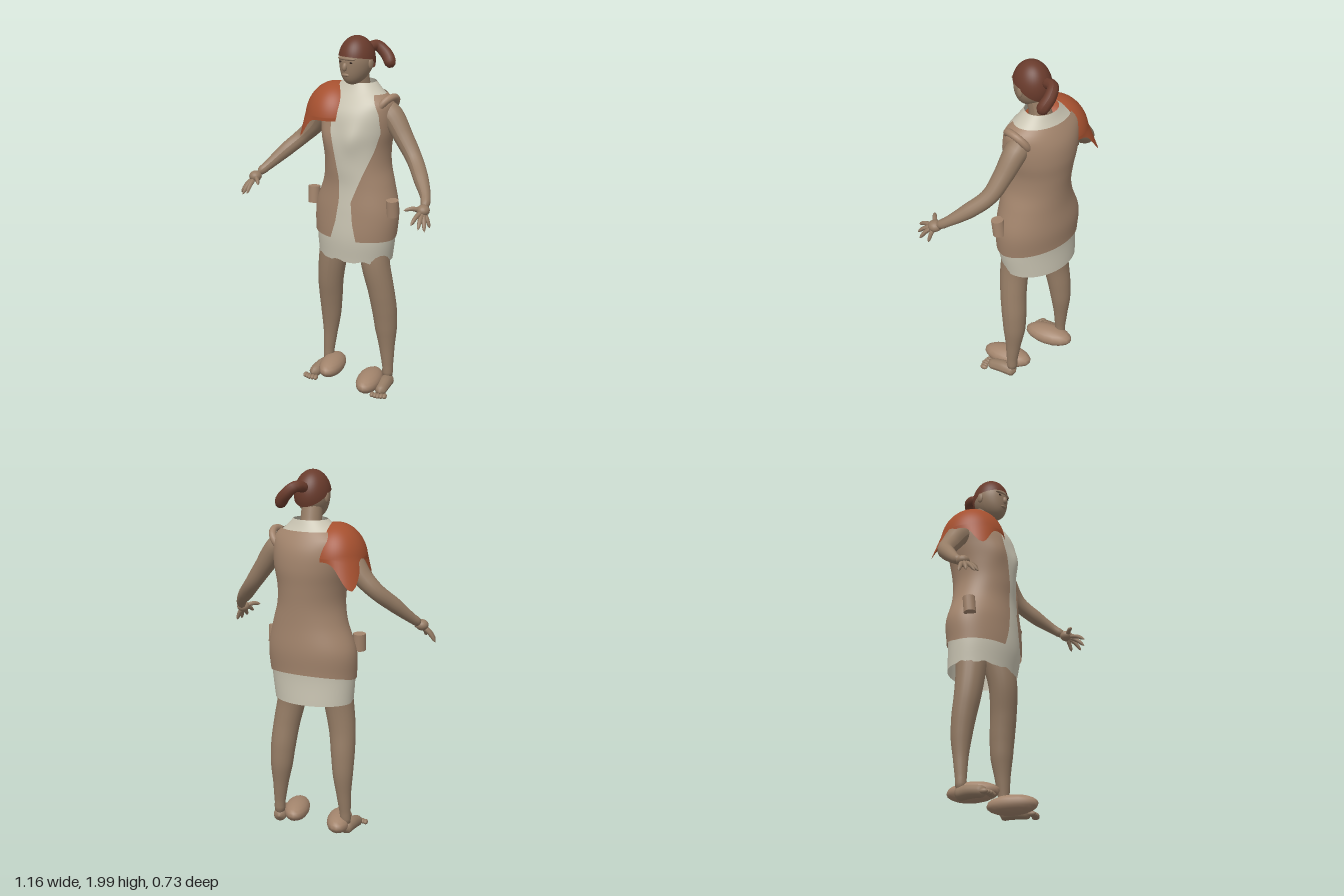
import * as THREE from 'three';

const mat = (name, color, side = THREE.FrontSide) => {
  const m = new THREE.MeshStandardMaterial({ color, side });
  m.name = name;
  return m;
};
const TURN = 0.38; // the body faces a little to its right
const sinT = Math.sin(TURN), cosT = Math.cos(TURN);
const bell = (d, w) => Math.exp(-(d * d) / (w * w));

// Surface from cross-sections: u runs around (+x to +z), v runs upward
function grid(nu, nv, closed, fn) {
  const pos = [], idx = [], cols = closed ? nu : nu + 1;
  for (let i = 0; i <= nv; i++)
    for (let j = 0; j < cols; j++) pos.push(...fn(j / nu, i / nv));
  for (let i = 0; i < nv; i++)
    for (let j = 0; j < nu; j++) {
      const k = (j + 1) % cols, r = i * cols, s = r + cols;
      idx.push(r + j, s + j, r + k, r + k, s + j, s + k);
    }
  const g = new THREE.BufferGeometry();
  g.setAttribute('position', new THREE.Float32BufferAttribute(pos, 3));
  g.setIndex(idx);
  g.computeVertexNormals();
  return g;
}

// Tapered tube through [x, y, z, radius] points, with round ends
function limb(pts, n = 24, sides = 16) {
  const curve = new THREE.CatmullRomCurve3(pts.map(p => new THREE.Vector3(p[0], p[1], p[2])));
  const g = new THREE.TubeGeometry(curve, n, 1, sides);
  const p = g.attributes.position, v = new THREE.Vector3(), c = new THREE.Vector3();
  for (let i = 0; i <= n; i++) {
    curve.getPointAt(i / n, c);
    const t = curve.getUtoTmapping(i / n) * (pts.length - 1);
    const k = Math.min(Math.floor(t), pts.length - 2);
    let r = THREE.MathUtils.lerp(pts[k][3], pts[k + 1][3], t - k);
    if (i === 0 || i === n) r *= 0.02;
    else if (i === 1 || i === n - 1) r *= 0.85;
    for (let j = 0; j <= sides; j++) {
      const q = i * (sides + 1) + j;
      v.fromBufferAttribute(p, q).sub(c).multiplyScalar(r).add(c);
      p.setXYZ(q, v.x, v.y, v.z);
    }
  }
  g.computeVertexNormals();
  return g;
}

// Torso sections by height: centre x, centre z, half width, half depth
const heights = [0.77, 0.9, 1.05, 1.2, 1.3, 1.4, 1.5, 1.6, 1.66, 1.71, 1.75];
const sections = [
  0.065, -0.125, 0.225, 0.165, 0.07, -0.115, 0.24, 0.17, 0.075, -0.12, 0.245, 0.172,
  0.085, -0.117, 0.2, 0.165, 0.08, -0.115, 0.177, 0.17, 0.075, -0.12, 0.18, 0.175,
  0.075, -0.13, 0.2, 0.175, 0.07, -0.135, 0.212, 0.162, 0.07, -0.14, 0.205, 0.132,
  0.075, -0.14, 0.14, 0.1, 0.08, -0.14, 0.095, 0.08];
const torsoAt = new THREE.CubicInterpolant(heights, sections, 4, new Float32Array(4));
function torso(phi, y, grow = 0) {
  const [cx, cz, a, b] = torsoAt.evaluate(y);
  const bust = 0.025 * bell(y - 1.47, 0.08) * (bell(phi - 1.05, 0.35) + bell(phi - 2.1, 0.35));
  const l = (a + grow) * Math.cos(phi), f = (b + grow + bust) * Math.sin(phi);
  return [cx + l * cosT - f * sinT, y, cz + l * sinT + f * cosT];
}
// Angle at which the front of the torso reaches a given x
function angleAt(x, y) {
  let lo = 0, hi = 2.7;
  for (let i = 0; i < 24; i++) {
    const m = (lo + hi) / 2;
    if (torso(m, y)[0] > x) lo = m; else hi = m;
  }
  return lo;
}
const edgeY = [0.9, 1.0, 1.12, 1.25, 1.4, 1.5, 1.6, 1.7];
const edgeOf = xs => new THREE.LinearInterpolant(edgeY, xs, 1, new Float32Array(1));
const rightEdge = edgeOf([-0.03, 0.0, 0.02, 0.02, -0.01, -0.03, -0.03, -0.01]);
const leftEdge = edgeOf([0.12, 0.1, 0.09, 0.14, 0.2, 0.23, 0.22, 0.18]);

export function createModel() {
  const model = new THREE.Group();
  const skin = mat('skin', 0x957c65), tan = mat('tan leather', 0xa2846c, THREE.DoubleSide);
  const cloth = mat('pale cloth', 0xc9c4b2, THREE.DoubleSide);
  const rust = mat('rust shawl', 0xa5502f, THREE.DoubleSide);
  const hair = mat('brown hair', 0x693b2c, THREE.DoubleSide), dark = mat('dark eyes', 0x3a2a22);
  const add = (name, geo, m, parent = model) => {
    const mesh = new THREE.Mesh(geo, m);
    mesh.name = name;
    parent.add(mesh);
    return mesh;
  };
  const ball = (name, m, p, s, parent) => {
    const o = add(name, new THREE.SphereGeometry(1, 20, 14), m, parent);
    o.position.set(...p);
    o.scale.set(...s);
    return o;
  };

  // Tunic with a ragged hem, and the vest open at the front
  add('tunic', grid(64, 50, true, (u, v) => {
    const phi = u * Math.PI * 2;
    const hem = 0.768 + 0.012 * Math.max(0, Math.sin(phi * 9)) * (Math.sin(phi) > 0 ? 1 : 0);
    return torso(phi, hem + v * (1.75 - hem));
  }), cloth);
  add('vest', grid(56, 40, false, (u, v) => {
    const y = 0.9 + v * 0.795;
    const a0 = angleAt(rightEdge.evaluate(y)[0], y);
    const a1 = angleAt(leftEdge.evaluate(y)[0], y) + Math.PI * 2;
    const phi = a0 + (a1 - a0) * u;
    const p = torso(phi, y, 0.008);
    p[1] += 0.035 * (1 - v) ** 8 * Math.max(0, -Math.sin(phi));
    return p;
  }), tan);

  // Rolled armhole on the left shoulder
  const roll = add('armholeRoll', new THREE.TorusGeometry(0.068, 0.02, 10, 28), tan);
  roll.position.set(0.245, 1.625, -0.085);
  roll.lookAt(0.42, 1.5, -0.01);

  // Shawl over the right shoulder with two hanging points
  add('shawl', grid(60, 24, true, (u, v) => {
    const az = u * Math.PI * 2, w = 1 - v, deg = az * 180 / Math.PI;
    const back = bell(deg - 241, 20), side = bell(deg - 151, 17);
    const t = Math.min(w / 0.7, 1) * 1.4, drop = Math.max(0, (w - 0.7) / 0.3);
    const r = Math.sin(t) * (1 + drop * (0.33 * back + 0.2 * side));
    const y = 1.535 + 0.2 * Math.cos(t);
    const hem = 1.55 - 0.14 * back - 0.11 * side;
    return [-0.06 + 0.165 * r * Math.cos(az), y + (hem - y) * drop, -0.15 + 0.182 * r * Math.sin(az)];
  }), rust);

  // Belt pouches
  for (const [name, x, z, tilt] of [['leftPouch', 0.305, 0.0, 0.12], ['rightPouch', -0.18, -0.13, -0.08]]) {
    const p = add(name, new THREE.CylinderGeometry(0.034, 0.034, 0.092, 16), tan);
    p.position.set(x, 1.09, z);
    p.rotation.x = tilt;
  }

  // Arms and hands
  const arms = {
    left: {
      arm: [[0.2, 1.62, -0.11, 0.06], [0.27, 1.58, -0.09, 0.064], [0.35, 1.47, -0.055, 0.052], [0.42, 1.37, -0.01, 0.044],
        [0.48, 1.29, 0.08, 0.041], [0.53, 1.22, 0.18, 0.026], [0.54, 1.18, 0.24, 0.026]],
      palm: [0.535, 1.175, 0.25],
      tips: [[0.577, 1.09, 0.27], [0.563, 1.085, 0.33], [0.535, 1.1, 0.355], [0.5, 1.125, 0.365], [0.445, 1.18, 0.3]]
    },
    right: {
      arm: [[-0.06, 1.6, -0.19, 0.06], [-0.14, 1.55, -0.21, 0.062], [-0.21, 1.46, -0.235, 0.052], [-0.28, 1.39, -0.24, 0.044],
        [-0.37, 1.31, -0.19, 0.04], [-0.46, 1.225, -0.125, 0.026], [-0.5, 1.19, -0.085, 0.026]],
      palm: [-0.507, 1.18, -0.07],
      tips: [[-0.58, 1.085, -0.07], [-0.578, 1.09, -0.03], [-0.555, 1.09, 0.01], [-0.525, 1.1, 0.022], [-0.465, 1.15, 0.0]]
    }
  };
  for (const [s, a] of Object.entries(arms)) {
    add(s + 'Arm', limb(a.arm, 32), skin);
    ball(s + 'Palm', skin, a.palm, [0.035, 0.03, 0.037]);
    a.tips.forEach((t, i) => {
      const at = k => a.palm.map((c, d) => c + (t[d] - c) * k);
      const mid = at(0.6);
      mid[1] += 0.01;
      add(s + 'Finger' + (i + 1), limb([[...at(0.1), 0.014], [...mid, 0.012], [...t, 0.008]], 8, 8), skin);
    });
  }

  // Legs, feet, toes and the rounded lumps beside them
  const legs = {
    left: {
      leg: [[0.18, 0.95, -0.08, 0.09], [0.2, 0.76, -0.045, 0.08], [0.232, 0.6, -0.05, 0.073], [0.25, 0.48, -0.062, 0.07],
        [0.26, 0.36, -0.068, 0.062], [0.267, 0.25, -0.065, 0.044], [0.274, 0.13, -0.06, 0.03], [0.275, 0.05, -0.06, 0.033]],
      heel: [0.277, -0.085], toe: [0.268, 0.095], lump: [0.188, 0.01]
    },
    right: {
      leg: [[-0.04, 0.95, -0.16, 0.09], [-0.072, 0.76, -0.15, 0.082], [-0.093, 0.6, -0.16, 0.073], [-0.098, 0.48, -0.178, 0.066],
        [-0.1, 0.36, -0.19, 0.056], [-0.105, 0.25, -0.19, 0.041], [-0.113, 0.13, -0.185, 0.03], [-0.115, 0.05, -0.183, 0.033]],
      heel: [-0.11, -0.212], toe: [-0.17, -0.035], lump: [-0.075, -0.13]
    }
  };
  for (const [s, l] of Object.entries(legs)) {
    add(s + 'Leg', limb(l.leg, 36, 20), skin);
    const [hx, hz] = l.heel, [tx, tz] = l.toe;
    const mid = k => [hx + (tx - hx) * k, hz + (tz - hz) * k];
    const [mx, mz] = mid(0.45);
    add(s + 'Foot', limb([[hx, 0.045, hz, 0.036], [mx, 0.05, mz, 0.038], [tx, 0.033, tz, 0.03]], 14, 14), skin);
    const len = Math.hypot(tx - hx, tz - hz), dx = (tx - hx) / len, dz = (tz - hz) / len;
    for (let i = -2; i <= 2; i++) {
      const f = 0.02 - 0.004 * Math.abs(i), o = i * 0.018;
      ball(s + 'Toe' + (i + 3), skin, [tx + dx * f + dz * o, 0.024, tz + dz * f - dx * o], [0.013, 0.014, 0.022]);
    }
    const lump = add(s + 'FootLump', new THREE.SphereGeometry(1, 16, 10), tan);
    lump.scale.set(0.07, 0.055, 0.143);
    lump.position.set(l.lump[0], 0.065, l.lump[1]);
  }

  // Neck and head
  add('neck', limb([[0.085, 1.64, -0.15, 0.07], [0.08, 1.73, -0.13, 0.058], [0.075, 1.85, -0.1, 0.055]], 12), skin);
  const head = new THREE.Group();
  head.name = 'head';
  head.position.set(0.076, 1.868, -0.083);
  head.rotation.y = -TURN;
  model.add(head);
  const skull = new THREE.SphereGeometry(1, 36, 28), sp = skull.attributes.position;
  for (let i = 0; i < sp.count; i++) {
    const y = sp.getY(i), t = Math.max(0, -y);
    sp.setXYZ(i, sp.getX(i) * 0.088 * (1 - 0.08 * t), y * 0.125, sp.getZ(i) * 0.101 + 0.035 * t * t);
  }
  skull.computeVertexNormals();
  add('skull', skull, skin, head);
  const nose = ball('nose', skin, [0, -0.022, 0.099], [0.014, 0.024, 0.016], head);
  nose.rotation.x = -0.25;
  ball('brow', skin, [0, 0.02, 0.085], [0.058, 0.012, 0.018], head);
  ball('lips', skin, [0, -0.066, 0.094], [0.024, 0.009, 0.01], head);
  for (const s of [-1, 1]) {
    ball('eye', dark, [s * 0.033, 0.002, 0.0925], [0.012, 0.005, 0.004], head);
    ball('ear', skin, [s * 0.09, -0.01, -0.008], [0.01, 0.03, 0.018], head);
  }

  // Hair cap, cut straight in front and lower at the nape, with a ponytail
  add('hairCap', grid(40, 16, true, (u, v) => {
    const az = u * Math.PI * 2, f = Math.sin(az);
    const hem = f > 0 ? 1.46 - 0.14 * f : 1.46 - 0.55 * f;
    const t = hem * (1 - v);
    return [0.096 * Math.sin(t) * Math.cos(az), 0.132 * Math.cos(t), 0.108 * Math.sin(t) * f - 0.003];
  }), hair, head);
  add('ponytail', limb([[0.1, 1.91, -0.165, 0.028], [0.145, 1.925, -0.23, 0.03], [0.19, 1.89, -0.235, 0.033],
    [0.222, 1.845, -0.215, 0.034], [0.222, 1.81, -0.2, 0.026]], 20, 10), hair);

  return model;
}
